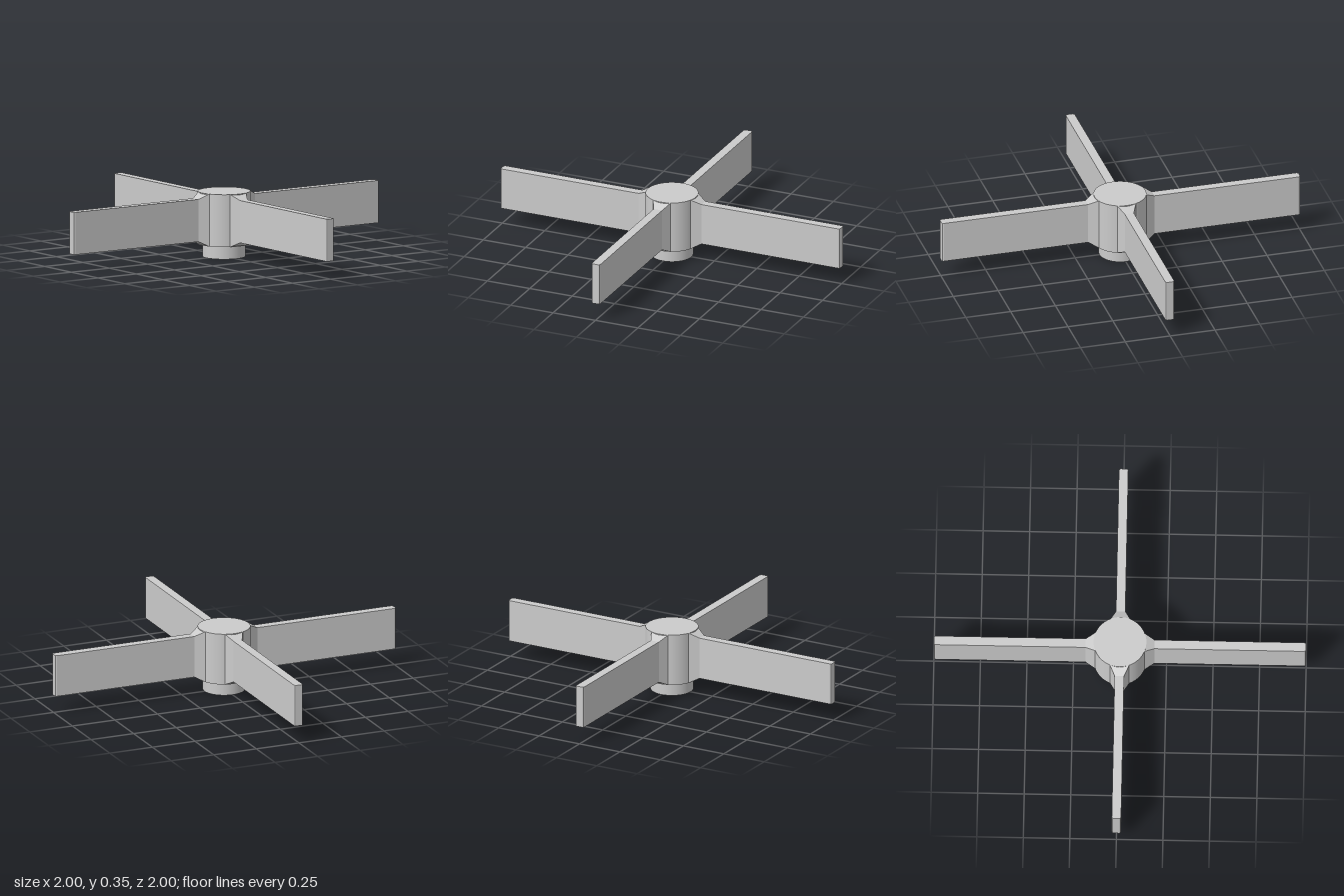
import * as THREE from 'three';

export function createModel() {
  const model = new THREE.Group();
  const material = new THREE.MeshStandardMaterial({ color: 0xcccccc });

  const add = (parent, name, geometry, y = 0) => {
    const mesh = new THREE.Mesh(geometry, material);
    mesh.name = name;
    mesh.position.y = y;
    parent.add(mesh);
  };

  // Round hub with a smaller boss underneath
  add(model, 'hub', new THREE.CylinderGeometry(0.142, 0.142, 0.285, 48), 0.2125);
  add(model, 'boss', new THREE.CylinderGeometry(0.115, 0.115, 0.08, 48), 0.04);

  // Blade: plan outline with slightly eased tip corners, extruded upwards
  const plan = new THREE.Shape([
    [0.13, -0.025], [0.99, -0.025], [0.997, -0.022], [1, -0.017],
    [1, 0.017], [0.997, 0.022], [0.99, 0.025], [0.13, 0.025],
  ].map(([x, z]) => new THREE.Vector2(x, z)));
  const blade = new THREE.ExtrudeGeometry(plan, { depth: 0.23, bevelEnabled: false });
  blade.rotateX(-Math.PI / 2);

  // Blade root: block tapering from the hub down to the blade section
  const root = new THREE.BoxGeometry(2, 2, 2);
  const p = root.attributes.position;
  for (let i = 0; i < p.count; i++) {
    const outer = p.getX(i) > 0;
    p.setXYZ(i,
      outer ? 0.185 : 0.132,
      p.getY(i) * (outer ? 0.115 : 0.1425),
      p.getZ(i) * (outer ? 0.025 : 0.052));
  }
  root.computeVertexNormals();

  // Four arms around the hub
  for (let i = 0; i < 4; i++) {
    const arm = new THREE.Group();
    arm.name = 'arm' + (i + 1);
    add(arm, 'blade', blade, 0.0975);
    add(arm, 'bladeRoot', root, 0.2125);
    arm.rotation.y = i * Math.PI / 2;
    model.add(arm);
  }
  return model;
}
